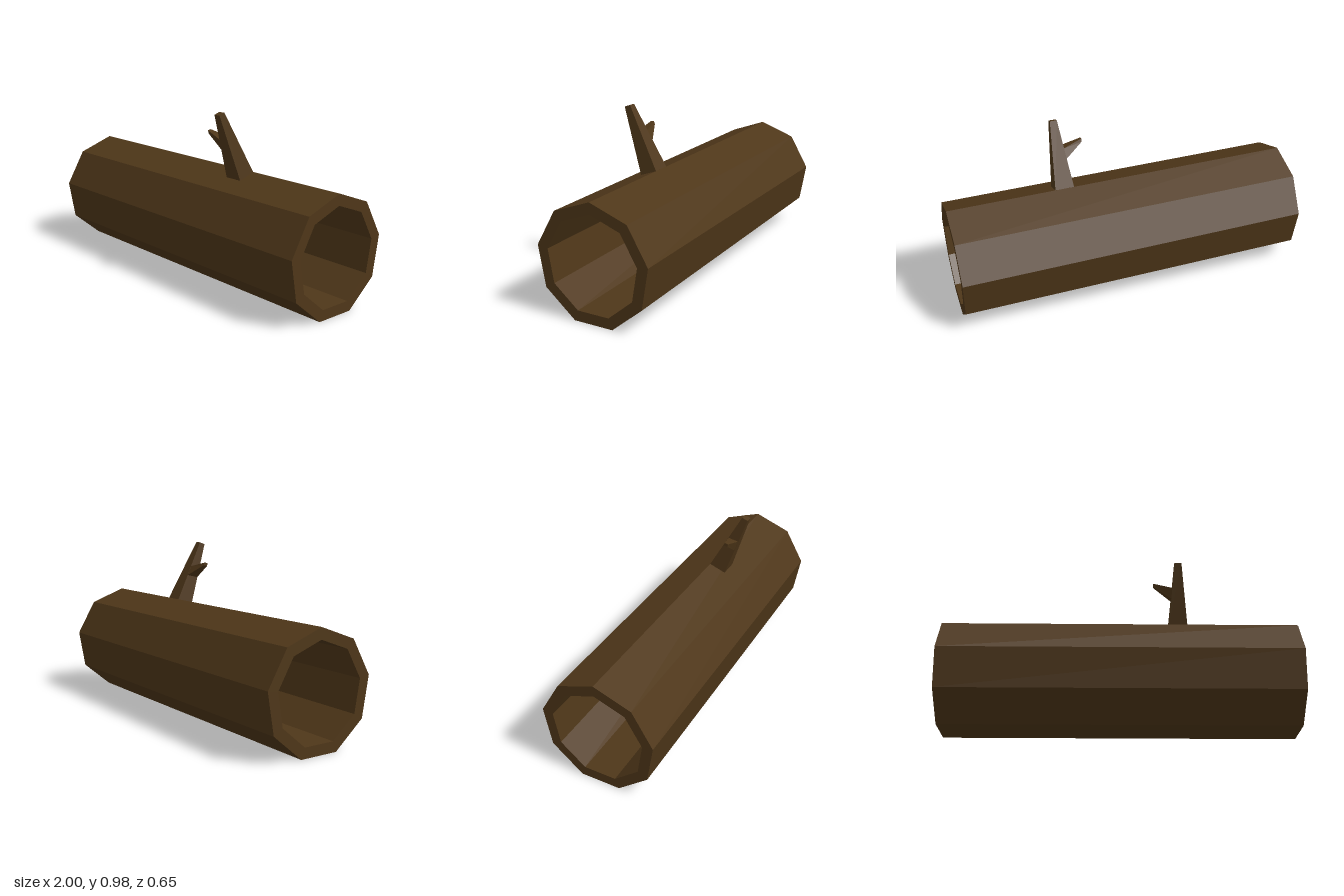
import * as THREE from 'three';

const bark = new THREE.MeshStandardMaterial({ color: 0x4f3719, flatShading: true });

// Nine-sided outline with a corner at the top
function ring(path, radius, centreY) {
  for (let i = 0; i < 9; i++) {
    const a = Math.PI / 2 + (i * Math.PI * 2) / 9;
    const x = radius * Math.cos(a), y = centreY + radius * Math.sin(a);
    if (i === 0) path.moveTo(x, y);
    else path.lineTo(x, y);
  }
  path.closePath();
  return path;
}

// Four-sided solid between two quads; corners run anticlockwise seen from the end side
function loft(start, end) {
  const pos = [];
  const quad = (a, b, c, d) => pos.push(...a, ...b, ...c, ...a, ...c, ...d);
  for (let i = 0; i < 4; i++) {
    const j = (i + 1) % 4;
    quad(start[i], start[j], end[j], end[i]);
  }
  quad(...end);
  quad(...[...start].reverse());
  const g = new THREE.BufferGeometry();
  g.setAttribute('position', new THREE.Float32BufferAttribute(pos, 3));
  g.computeVertexNormals();
  return g;
}

export function createModel() {
  const model = new THREE.Group();
  model.name = 'hollowLog';
  const add = (name, geometry) => {
    const mesh = new THREE.Mesh(geometry, bark);
    mesh.name = name;
    model.add(mesh);
  };

  // Hollow trunk lying along x
  const outline = ring(new THREE.Shape(), 0.33, 0.311);
  outline.holes.push(ring(new THREE.Path(), 0.268, 0.311));
  const trunk = new THREE.ExtrudeGeometry(outline, { depth: 2, bevelEnabled: false });
  trunk.translate(0, 0, -1).rotateY(Math.PI / 2);
  add('trunk', trunk);

  // Tapered branch leaning to the front
  add('branch', loft(
    [[0.282, 0.606, 0.095], [0.39, 0.606, 0.095], [0.39, 0.64, 0], [0.282, 0.64, 0]],
    [[0.316, 0.966, 0.214], [0.356, 0.966, 0.214], [0.356, 0.978, 0.18], [0.316, 0.978, 0.18]],
  ));

  // Small twig growing from the branch's right side
  add('twig', loft(
    [[0.299, 0.765, 0.146], [0.306, 0.825, 0.166], [0.306, 0.835, 0.105], [0.299, 0.782, 0.076]],
    [[0.192, 0.842, 0.148], [0.192, 0.86, 0.153], [0.192, 0.864, 0.132], [0.192, 0.848, 0.125]],
  ));

  return model;
}
